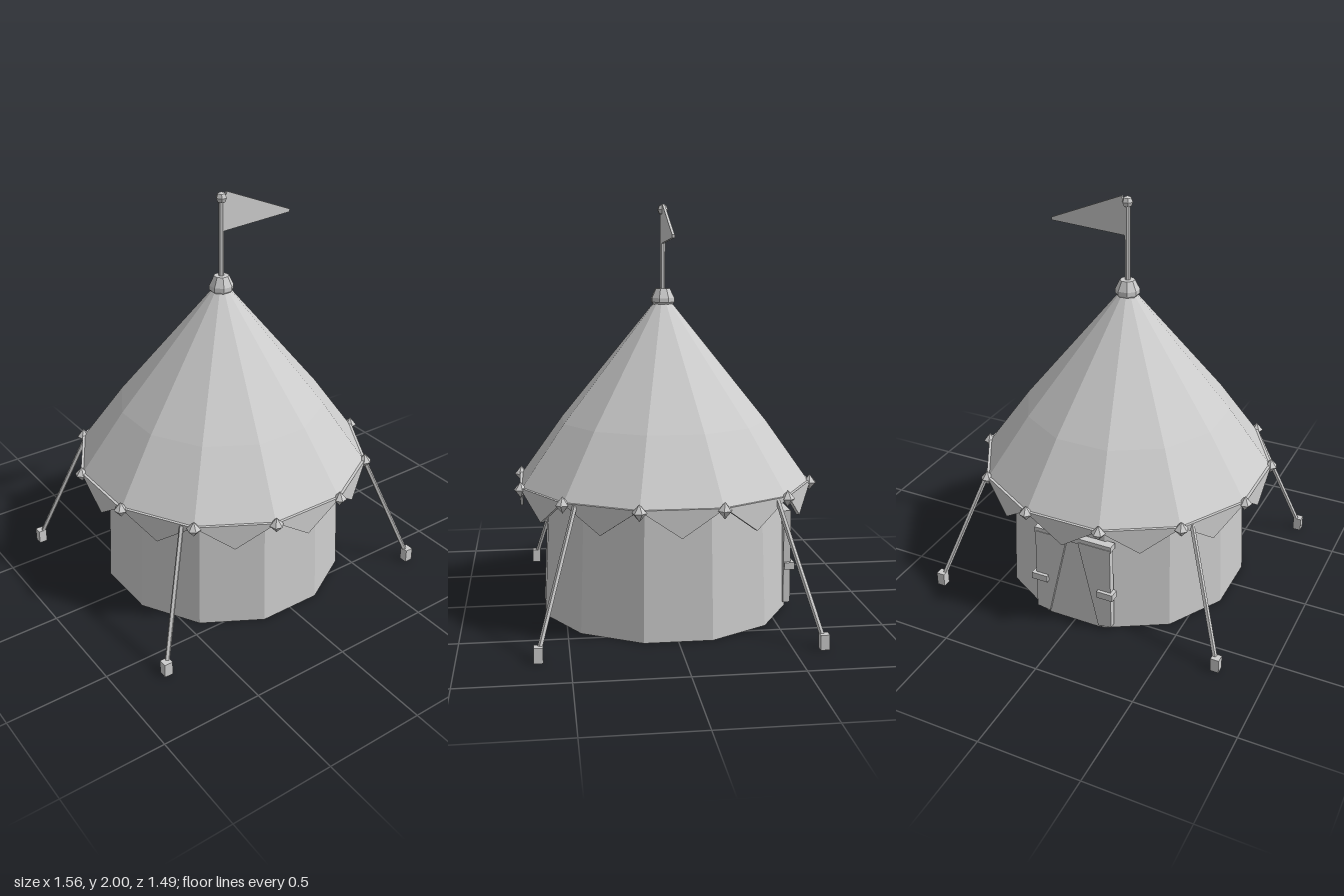
import * as THREE from 'three';

const SIDES = 12;
const STEP = (Math.PI * 2) / SIDES;

export function createModel() {
  const model = new THREE.Group();
  model.name = 'tent';
  const canvas = new THREE.MeshStandardMaterial({ color: 0xcccccc, flatShading: true });
  canvas.name = 'pale canvas';

  const add = (name, geometry, x = 0, y = 0, z = 0, parent = model) => {
    const mesh = new THREE.Mesh(geometry, canvas);
    mesh.name = name;
    mesh.position.set(x, y, z);
    parent.add(mesh);
    return mesh;
  };
  // Flat plate cut from a polygon and given a depth along z
  const plate = (points, depth) => new THREE.ExtrudeGeometry(
    new THREE.Shape(points.map(([x, y]) => new THREE.Vector2(x, y))),
    { depth, bevelEnabled: false });
  // Turned profile, listed from bottom to top
  const turned = (points, sides, start = 0) => new THREE.LatheGeometry(
    points.map(([r, y]) => new THREE.Vector2(r, y)), sides, start);

  // Walls and two-pitch roof with a closed underside
  add('walls', new THREE.CylinderGeometry(0.593, 0.621, 0.65, SIDES, 1, false, STEP / 2), 0, 0.325, 0);
  add('roof', turned([[0, 0.648], [0.728, 0.648], [0.515, 0.945], [0.03, 1.54]], SIDES, STEP / 2));

  // Pointed valance on every side, with a bead at each corner
  const half = 0.715 * Math.tan(STEP / 2);
  const pennant = plate([[-half, 0.65], [0, 0.518], [half, 0.65]], 0.015);
  const bead = new THREE.SphereGeometry(0.036, 6, 2);
  bead.scale(0.95, 1.1, 0.95);
  for (let i = 0; i < SIDES; i++) {
    const side = new THREE.Group();
    side.name = 'eaveSide';
    side.rotation.y = i * STEP;
    add('valance', pennant, 0, 0, 0.7, side);
    model.add(side);
    const a = (i + 0.5) * STEP;
    add('eaveBead', bead, 0.735 * Math.sin(a), 0.64, 0.735 * Math.cos(a)).rotation.y = a;
  }

  // Mast, collar, ball and pennant flag
  add('mastCollar', turned([[0, 1.503], [0.042, 1.503], [0.06, 1.525], [0.06, 1.545],
    [0.037, 1.592], [0, 1.592]], 8, Math.PI / 8));
  add('mast', new THREE.CylinderGeometry(0.013, 0.013, 0.46, 6), 0, 1.75, 0);
  add('mastBall', new THREE.SphereGeometry(0.028, 6, 4), 0, 1.972, 0);
  add('flag', plate([[0.008, 1.81], [0.4, 1.832], [0.4, 1.846], [0.028, 1.998], [0.008, 1.94]], 0.012), 0, 0, -0.006);

  // Guy ropes and stakes at the four corners
  const up = new THREE.Vector3(0, 1, 0);
  for (const sx of [-1, 1]) for (const sz of [-1, 1]) {
    const top = new THREE.Vector3(sx * 0.55, 0.64, sz * 0.465);
    const foot = new THREE.Vector3(sx * 0.76, 0.035, sz * 0.64);
    const dir = top.clone().sub(foot);
    const mid = top.clone().add(foot).multiplyScalar(0.5);
    const rope = add('guyRope', new THREE.CylinderGeometry(0.012, 0.012, dir.length(), 5), mid.x, mid.y, mid.z);
    rope.quaternion.setFromUnitVectors(up, dir.normalize());
    add('stake', new THREE.BoxGeometry(0.042, 0.07, 0.042), foot.x, 0.035, foot.z);
  }

  // Doorway on the back: inner sheet, lintel, and flaps tied aside
  const door = new THREE.Group();
  door.name = 'doorway';
  door.rotation.y = Math.PI;
  model.add(door);
  add('doorSheet', plate([[-0.14, 0], [0.14, 0], [0.04, 0.48], [-0.04, 0.48]], 0.025), 0, 0, 0.579, door);
  add('lintel', new THREE.BoxGeometry(0.41, 0.03, 0.045), 0, 0.485, 0.593, door);
  for (const s of [-1, 1]) {
    const outline = [[0.135, 0.02], [0.205, 0.03], [0.2, 0.48], [0.03, 0.48]].map(([x, y]) => [s * x, y]);
    add('doorFlap', plate(outline, 0.035), 0, 0, 0.583, door);
    add('flapTie', new THREE.BoxGeometry(0.085, 0.035, 0.05), s * 0.178, 0.22, 0.61, door);
  }
  return model;
}
